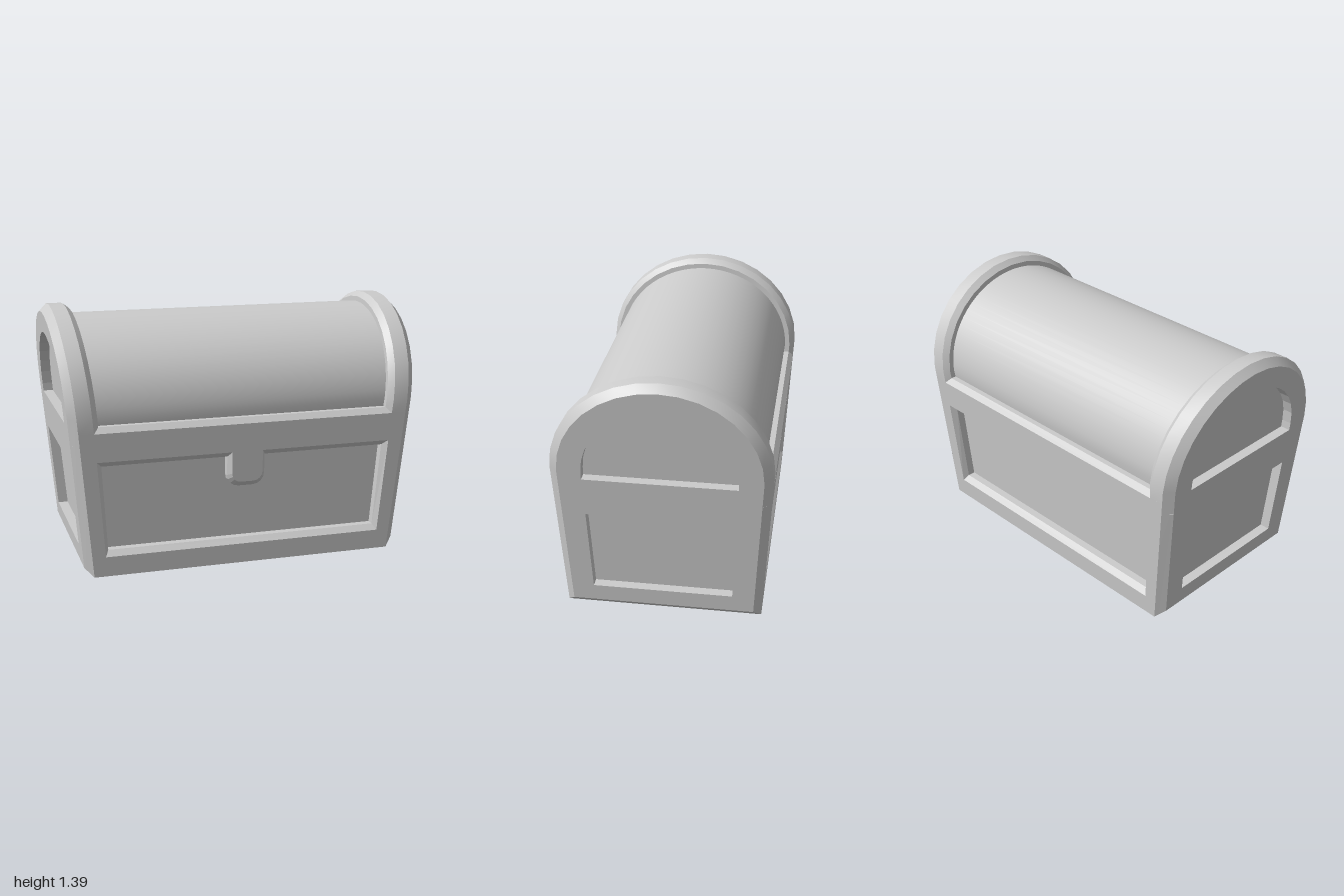
import * as THREE from 'three';

const LEAN_X = 0.088;   // outward lean of the end walls
const LEAN_Z = 0.0517;  // outward lean of the front and back walls
const ARCH_Y = 0.87;    // height at which the arch springs

const flat = new THREE.MeshStandardMaterial({ color: 0xcccccc, flatShading: true, side: THREE.DoubleSide });
const smooth = new THREE.MeshStandardMaterial({ color: 0xcccccc, side: THREE.DoubleSide });

// Places 2D points on a leaning wall; d is the depth behind its face
const onEnd = (a, y, d = 0) => new THREE.Vector3(0.881 + LEAN_X * y - d, y, -a);
const onFront = (x, y, d = 0) => new THREE.Vector3(x, y, 0.525 + LEAN_Z * y - d);
const lift = (pts, place, d) => pts.map(([a, b]) => place(a, b, d));
const toShape = (pts) => new THREE.Shape(pts.map(([a, b]) => new THREE.Vector2(a, b)));

function addMesh(parent, name, geometry, material = flat) {
  const g = material === flat ? geometry.toNonIndexed() : geometry;
  g.computeVertexNormals();
  const mesh = new THREE.Mesh(g, material);
  mesh.name = name;
  parent.add(mesh);
}

// Band of quads between two matching rows of points
function strip(rowA, rowB, closed = false) {
  const n = rowA.length, index = [];
  for (let i = 0; i < (closed ? n : n - 1); i++) {
    const j = (i + 1) % n;
    index.push(i, j, n + i, j, n + j, n + i);
  }
  const g = new THREE.BufferGeometry().setFromPoints([...rowA, ...rowB]);
  g.setIndex(index);
  return g;
}

// Flat wall with holes, laid onto its leaning plane
function wall(outline, holes, place, d = 0) {
  const shape = toShape(outline);
  shape.holes.push(...holes.map(toShape));
  const g = new THREE.ShapeGeometry(shape);
  const p = g.attributes.position;
  for (let i = 0; i < p.count; i++) {
    const v = place(p.getX(i), p.getY(i), d);
    p.setXYZ(i, v.x, v.y, v.z);
  }
  return g;
}

// Recessed panel: straight side walls and floor
function addRecess(parent, name, outline, place, from, to) {
  addMesh(parent, name + 'Sides', strip(lift(outline, place, from), lift(outline, place, to), true));
  addMesh(parent, name, wall(outline, [], place, to));
}

// Arch outline: starts at the lower right, ends at the lower left
function arch(startX, startY, rx, ry, segments = 16) {
  const pts = [[startX, startY]];
  for (let i = 0; i <= segments; i++) {
    const t = (Math.PI * i) / segments;
    pts.push([rx * Math.cos(t), ARCH_Y + ry * Math.sin(t)]);
  }
  pts.push([-startX, startY]);
  return pts;
}

// Tapered panel outline, with an optional rounded tab hanging from its top
function panel(bottomX, bottomY, topX, topY, tab) {
  const pts = [[-bottomX, bottomY], [bottomX, bottomY], [topX, topY]];
  if (tab) {
    const { half, low, r } = tab;
    pts.push([half, topY]);
    for (const s of [1, -1]) {
      for (let i = 0; i <= 4; i++) {
        const t = (Math.PI / 8) * (s > 0 ? i : 4 - i);
        pts.push([s * (half - r + r * Math.cos(t)), low + r - r * Math.sin(t)]);
      }
    }
    pts.push([-half, topY]);
  }
  pts.push([-topX, topY]);
  return pts;
}

function makeEnd() {
  const end = new THREE.Group();
  // Outer face with two recessed panels
  const face = arch(0.485, 0.045, 0.525, 0.48);
  const archWindow = arch(0.4, 0.825, 0.4, 0.365);
  const lower = panel(0.372, 0.14, 0.39, 0.61);
  addMesh(end, 'endFace', wall(face, [archWindow, lower], onEnd));
  addRecess(end, 'archPanel', archWindow, onEnd, 0, 0.055);
  addRecess(end, 'lowerEndPanel', lower, onEnd, 0, 0.055);
  // Bevel around the face
  const outerRow = lift(arch(0.525, 0, 0.57, 0.52), onEnd, 0.043);
  const faceRow = lift(face, onEnd, 0);
  addMesh(end, 'endBevel', strip(outerRow, faceRow), smooth);
  const bottom = (row) => [row.at(-1), row[0]];
  addMesh(end, 'bottomBevel', strip(bottom(outerRow), bottom(faceRow)));
  // Raised rim over the lid, with an inner bevel and a step down to the lid
  const rim = arch(0.566, 0.795, 0.57, 0.52);
  const bevelFoot = lift(arch(0.54, 0.825, 0.543, 0.493), onEnd, 0.154);
  const lidEdge = lift(arch(0.51, 0.825, 0.515, 0.465), onEnd, 0.154);
  addMesh(end, 'rim', strip(lift(rim, onEnd, 0.124), lift(rim, onEnd, 0.043)), smooth);
  addMesh(end, 'rimInnerBevel', strip(bevelFoot, lift(rim, onEnd, 0.124)), smooth);
  addMesh(end, 'rimStep', strip(lidEdge, bevelFoot));
  return end;
}

function makeLongSide(hasTab) {
  const side = new THREE.Group();
  // Frame around a bevelled, recessed panel
  const rim = panel(0.775, 0.11, 0.815, 0.64, hasTab && { half: 0.085, low: 0.47, r: 0.05 });
  const floor = panel(0.757, 0.14, 0.787, 0.61, hasTab && { half: 0.105, low: 0.44, r: 0.065 });
  addMesh(side, 'sideFrame', wall(panel(0.838, 0, 0.908, 0.795), [rim], onFront));
  addMesh(side, 'panelBevel', strip(lift(rim, onFront, 0), lift(floor, onFront, 0.03), true));
  addRecess(side, 'sidePanel', floor, onFront, 0.03, 0.072);
  // Bevelled ledge below the lid
  const row = (x, y, z) => [new THREE.Vector3(-x, y, z), new THREE.Vector3(x, y, z)];
  const ledgeFoot = row(0.8, 0.825, 0.54);
  addMesh(side, 'ledgeBevel', strip(row(0.827, 0.795, 0.566), ledgeFoot));
  addMesh(side, 'ledgeStep', strip(ledgeFoot, row(0.8, 0.825, 0.51)));
  return side;
}

export function createModel() {
  const chest = new THREE.Group();
  chest.name = 'chest';
  const add = (name, part, turn) => {
    part.name = name;
    part.rotation.y = turn;
    chest.add(part);
  };
  add('leftEnd', makeEnd(), 0);
  add('rightEnd', makeEnd(), Math.PI);
  add('front', makeLongSide(true), 0);
  add('back', makeLongSide(false), Math.PI);

  // Rounded lid between the two rims
  const nearEnd = lift(arch(0.51, 0.825, 0.515, 0.465, 32), onEnd, 0.154);
  const farEnd = nearEnd.map((v) => new THREE.Vector3(-v.x, v.y, v.z));
  addMesh(chest, 'lid', strip(farEnd, nearEnd), smooth);

  // Flat ceiling inside the open-bottomed body
  const corners = [[0.945, -0.52], [0.945, 0.52], [0.902, 0.562], [-0.902, 0.562],
    [-0.945, 0.52], [-0.945, -0.52], [-0.902, -0.562], [0.902, -0.562]];
  const ceiling = new THREE.ShapeGeometry(toShape(corners)).rotateX(Math.PI / 2);
  addMesh(chest, 'innerCeiling', ceiling.translate(0, 0.73, 0));
  return chest;
}
